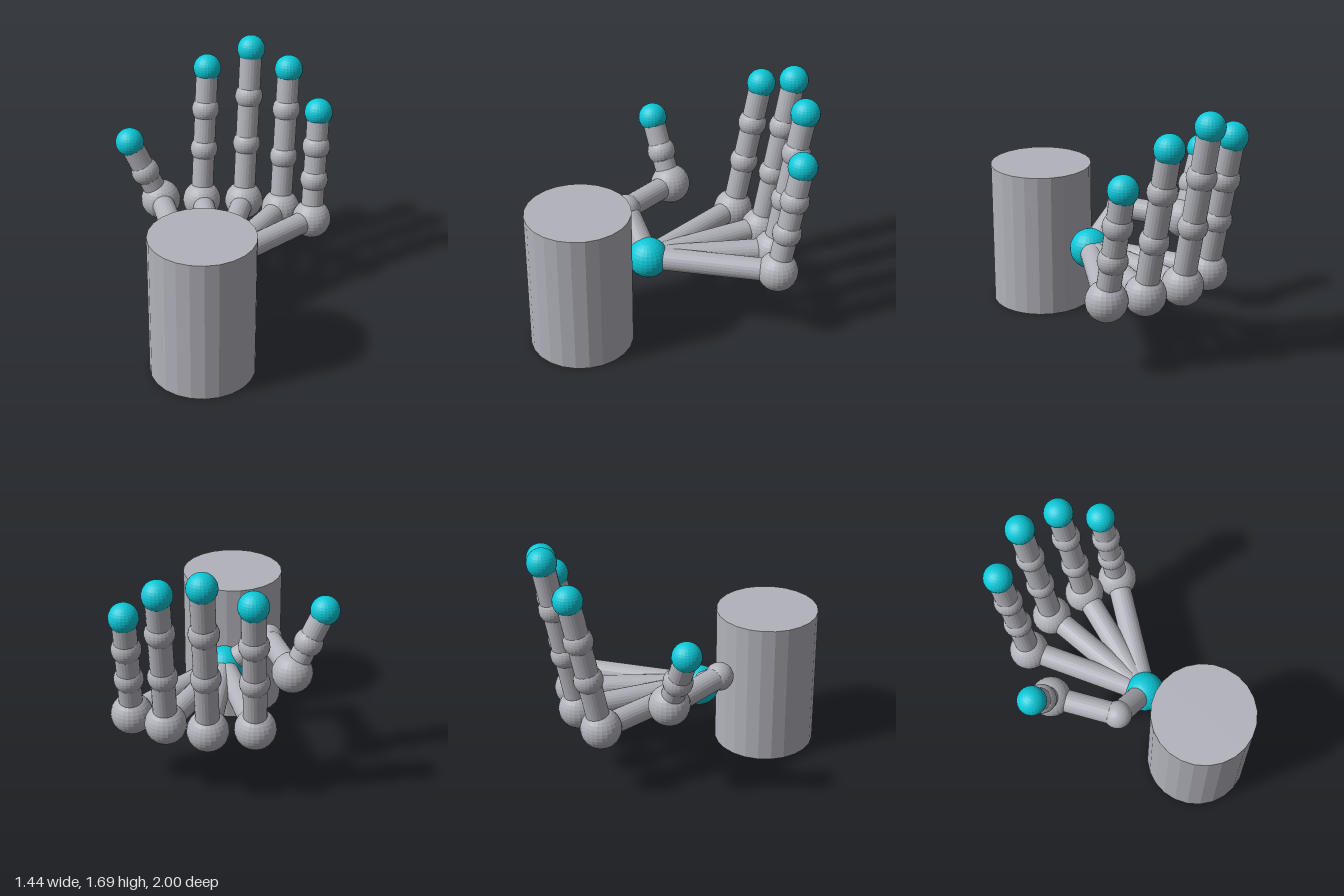
import * as THREE from 'three';

const grey = new THREE.MeshStandardMaterial({ color: 0xb2b2bb, flatShading: true });
grey.name = 'grey';
const cyan = new THREE.MeshStandardMaterial({ color: 0x0cc8d8, flatShading: true });
cyan.name = 'cyan';

const BONE = 0.077, JOINT = 0.097, KNUCKLE = 0.136;

function ball(name, center, radius, material = grey) {
  const mesh = new THREE.Mesh(new THREE.SphereGeometry(radius, 24, 16), material);
  mesh.name = name;
  mesh.position.copy(center);
  return mesh;
}

// Cylinder running from one joint centre to the next
function bone(name, a, b) {
  const dir = b.clone().sub(a);
  const mesh = new THREE.Mesh(new THREE.CylinderGeometry(BONE, BONE, dir.length(), 24), grey);
  mesh.name = name;
  mesh.position.copy(a).addScaledVector(dir, 0.5);
  mesh.quaternion.setFromUnitVectors(new THREE.Vector3(0, 1, 0), dir.normalize());
  return mesh;
}

// Chain of joints, starting at the wrist; the last joint is the coloured tip
function digit(name, wrist, points, radii) {
  const group = new THREE.Group();
  group.name = name;
  let previous = wrist;
  points.forEach((p, i) => {
    const tip = i === points.length - 1;
    group.add(bone('bone', previous, p));
    group.add(ball(tip ? 'fingertip' : 'joint', p, radii[i], tip ? cyan : grey));
    previous = p;
  });
  return group;
}

export function createModel() {
  const model = new THREE.Group();
  model.name = 'jointedHand';

  // Forearm drum
  const forearm = new THREE.Mesh(new THREE.CylinderGeometry(0.346, 0.346, 0.995, 24), grey);
  forearm.name = 'forearm';
  forearm.position.set(0.066, 0.4975, 0.654);
  model.add(forearm);

  const wrist = new THREE.Vector3(0.066, 0.5, 0.16);
  model.add(ball('wrist', wrist, KNUCKLE, cyan));

  // Fingers lean back in a straight line from knuckle to tip
  const fingers = [
    ['indexFinger', -0.23, -0.643, -0.83, [0.5, 0.875, 1.16, 1.45]],
    ['middleFinger', 0.066, -0.7, -0.903, [0.5, 0.92, 1.26, 1.59]],
    ['ringFinger', 0.344, -0.643, -0.833, [0.5, 0.88, 1.215, 1.495]],
    ['littleFinger', 0.582, -0.543, -0.687, [0.5, 0.785, 1.02, 1.26]],
  ];
  for (const [name, x, zKnuckle, zTip, heights] of fingers) {
    const points = heights.map((y) => {
      const t = (y - heights[0]) / (heights[3] - heights[0]);
      return new THREE.Vector3(x, y, THREE.MathUtils.lerp(zKnuckle, zTip, t));
    });
    model.add(digit(name, wrist, points, [KNUCKLE, JOINT, JOINT, JOINT]));
  }

  // Thumb
  const thumb = [
    [-0.235, 0.72, 0.18], [-0.43, 0.7, -0.245], [-0.528, 0.916, -0.223], [-0.628, 1.14, -0.203],
  ].map((p) => new THREE.Vector3(...p));
  model.add(digit('thumb', wrist, thumb, [0.095, KNUCKLE, JOINT, JOINT]));

  return model;
}
